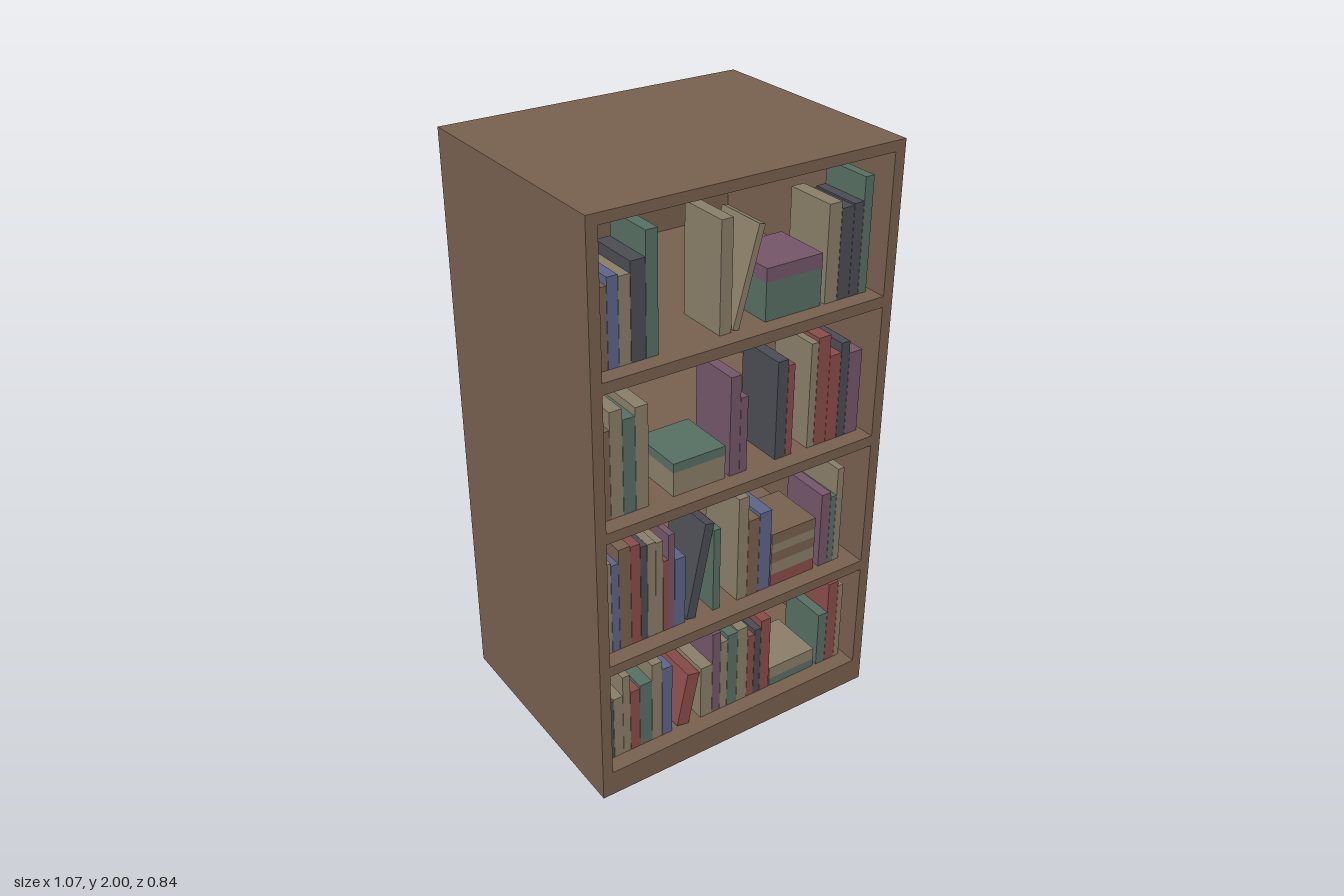
import * as THREE from 'three';

const material = (name, color) => Object.assign(new THREE.MeshStandardMaterial({ color }), { name });
const wood = material('brown wood', 0x775f4e);
const tan = material('tan cover', 0x887d67);
const slate = material('slate cover', 0x4b4c53);
const blue = material('blue cover', 0x5c648a);
const green = material('green cover', 0x566e62);
const red = material('red cover', 0x884c49);
const plum = material('plum cover', 0x735669);

const HALF_WIDTH = 0.537, HALF_DEPTH = 0.422, BACK = 0.037;
const BOOK_FRONT = 0.365, BOOK_DEPTH = 0.18, ROW_START = -0.489;

// Shelf openings are evenly spaced; the lowest is shortened by the plinth
const ceilingOf = (i) => 0.49 + 0.492 * i;
const floorOf = (i) => Math.max(ceilingOf(i) - 0.455, 0.093);

// Box with its lower left edge at x, y and its front on the book line
function block(name, x, y, width, height, cover, depth = BOOK_DEPTH) {
  const mesh = new THREE.Mesh(new THREE.BoxGeometry(width, height, depth), cover);
  mesh.name = name;
  mesh.position.set(x + width / 2, y + height / 2, BOOK_FRONT - depth / 2);
  return mesh;
}

// Upright books packed side by side, each [width, height, cover]
function bookRun(shelf, x, ...books) {
  for (const [width, height, cover] of books) {
    shelf.add(block('book', x, 0, width - 0.001, height, cover));
    x += width;
  }
}

// Books lying flat in a pile, each [thickness, cover], from the bottom up
function bookStack(shelf, x, width, ...layers) {
  let y = 0;
  for (const [thickness, cover] of layers) {
    shelf.add(block('stackedBook', x, y, width, thickness, cover, 0.2));
    y += thickness;
  }
}

// Book tilted to the right about its lower right edge
function leaningBook(shelf, foot, width, height, degrees, cover) {
  const pivot = new THREE.Group();
  pivot.name = 'leaningBook';
  pivot.position.x = foot;
  pivot.rotation.z = -THREE.MathUtils.degToRad(degrees);
  pivot.add(block('book', -width, 0, width, height, cover));
  shelf.add(pivot);
}

function fillBottomShelf(shelf) {
  bookRun(shelf, ROW_START, [0.032, 0.236, slate], [0.035, 0.241, tan], [0.028, 0.315, tan],
    [0.036, 0.241, red], [0.047, 0.251, green], [0.039, 0.313, tan], [0.04, 0.278, blue]);
  leaningBook(shelf, -0.167, 0.047, 0.203, 12, red);
  bookRun(shelf, -0.119, [0.047, 0.209, tan], [0.032, 0.331, plum], [0.029, 0.283, tan], [0.041, 0.299, green],
    [0.042, 0.304, tan], [0.028, 0.257, red], [0.027, 0.273, slate], [0.04, 0.299, red]);
  bookStack(shelf, 0.17, 0.193, [0.031, green], [0.046, tan]);
  bookRun(shelf, 0.378, [0.038, 0.214, green], [0.042, 0.331, red], [0.023, 0.31, tan]);
}

function fillSecondShelf(shelf) {
  bookRun(shelf, ROW_START, [0.035, 0.337, tan], [0.027, 0.326, blue], [0.043, 0.373, wood],
    [0.035, 0.368, red], [0.025, 0.353, slate], [0.03, 0.353, tan], [0.027, 0.347, tan],
    [0.02, 0.268, red], [0.023, 0.358, plum], [0.041, 0.257, blue]);
  leaningBook(shelf, -0.145, 0.034, 0.346, 11.5, slate);
  bookRun(shelf, -0.076, [0.027, 0.31, green]);
  bookRun(shelf, 0.019, [0.04, 0.39, tan], [0.045, 0.293, wood], [0.048, 0.305, blue]);
  bookStack(shelf, 0.156, 0.18, [0.045, red], [0.045, tan], [0.04, wood], [0.032, tan], [0.042, wood]);
  bookRun(shelf, 0.358, [0.038, 0.283, plum], [0.024, 0.263, green], [0.027, 0.363, tan]);
}

function fillThirdShelf(shelf) {
  bookRun(shelf, ROW_START, [0.042, 0.3, wood], [0.043, 0.358, tan], [0.043, 0.32, green], [0.045, 0.347, tan]);
  bookStack(shelf, -0.23, 0.19, [0.082, tan], [0.032, green]);
  bookRun(shelf, -0.024, [0.038, 0.342, plum], [0.028, 0.262, plum]);
  bookRun(shelf, 0.151, [0.04, 0.342, slate], [0.026, 0.32, red]);
  bookRun(shelf, 0.278, [0.027, 0.368, tan], [0.048, 0.38, red], [0.045, 0.305, red],
    [0.034, 0.337, slate], [0.052, 0.294, plum]);
}

function fillTopShelf(shelf) {
  bookRun(shelf, ROW_START, [0.044, 0.252, wood], [0.036, 0.277, blue], [0.039, 0.27, tan],
    [0.049, 0.305, slate], [0.041, 0.382, green]);
  bookRun(shelf, -0.071, [0.042, 0.355, tan]);
  leaningBook(shelf, -0.003, 0.022, 0.321, 15.3, tan);
  bookStack(shelf, 0.093, 0.206, [0.124, green], [0.046, plum]);
  bookRun(shelf, 0.315, [0.048, 0.317, tan], [0.047, 0.294, slate], [0.036, 0.299, slate], [0.033, 0.374, green]);
}

function rectangle(path, x, bottom, top) {
  path.moveTo(-x, bottom);
  path.lineTo(x, bottom);
  path.lineTo(x, top);
  path.lineTo(-x, top);
  path.closePath();
  return path;
}

export function createModel() {
  const model = new THREE.Group();
  model.name = 'bookcase';
  const outline = rectangle(new THREE.Shape(), HALF_WIDTH, 0, 2);

  // Shelf openings and their contents
  [fillBottomShelf, fillSecondShelf, fillThirdShelf, fillTopShelf].forEach((fill, i) => {
    outline.holes.push(rectangle(new THREE.Path(), 0.5, floorOf(i), ceilingOf(i)));
    const shelf = new THREE.Group();
    shelf.name = `shelfContents${i + 1}`;
    shelf.position.y = floorOf(i);
    fill(shelf);
    model.add(shelf);
  });

  // Frame around the openings
  const frame = new THREE.Mesh(
    new THREE.ExtrudeGeometry(outline, { depth: 2 * HALF_DEPTH - BACK, bevelEnabled: false }), wood);
  frame.name = 'frame';
  frame.position.z = BACK - HALF_DEPTH;

  // Back panel
  const back = new THREE.Mesh(new THREE.BoxGeometry(2 * HALF_WIDTH, 2, BACK), wood);
  back.name = 'backPanel';
  back.position.set(0, 1, BACK / 2 - HALF_DEPTH);

  model.add(frame, back);
  return model;
}
